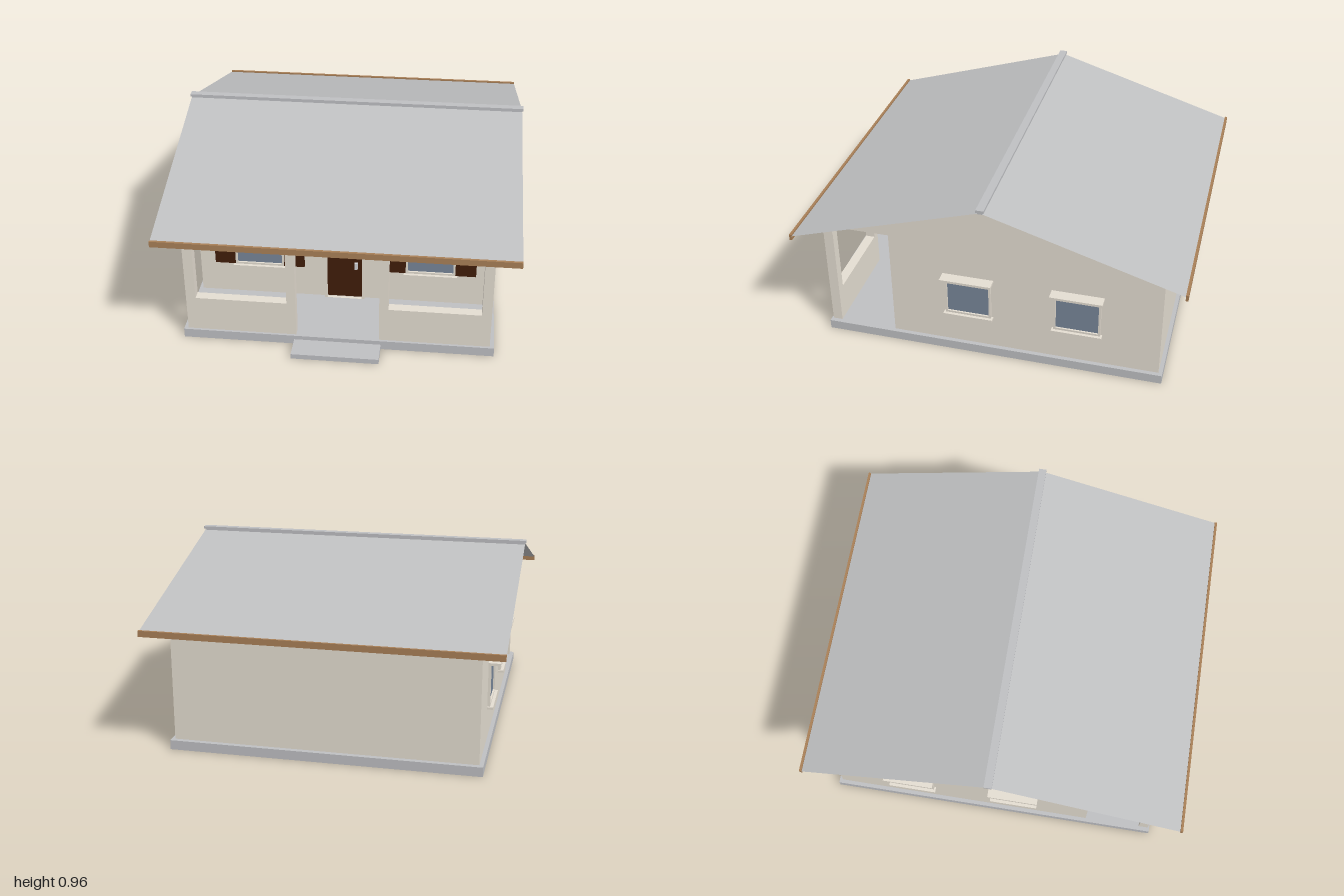
import * as THREE from 'three';

const mat = (name, color, side = THREE.FrontSide) => {
  const m = new THREE.MeshStandardMaterial({ color, side });
  m.name = name;
  return m;
};

export function createModel() {
  const model = new THREE.Group();
  model.name = 'house';

  const wall = mat('wall beige', 0xe4ddd1);
  const concrete = mat('concrete grey', 0xbebfc2, THREE.DoubleSide);
  const roofing = mat('roof grey', 0xbfc0c1, THREE.DoubleSide);
  const timber = mat('fascia brown', 0xa87f57);
  const darkWood = mat('dark wood', 0x401d09);
  const glass = mat('window glass', 0x778598);
  const metal = mat('handle metal', 0xd0d2d6);

  const add = (name, geometry, material, parent = model) => {
    const mesh = new THREE.Mesh(geometry, material);
    mesh.name = name;
    parent.add(mesh);
    return mesh;
  };
  // Box given by its minimum and maximum on each axis
  const box = (name, material, x0, x1, y0, y1, z0, z1, parent) => {
    const g = new THREE.BoxGeometry(x1 - x0, y1 - y0, z1 - z0);
    g.translate((x0 + x1) / 2, (y0 + y1) / 2, (z0 + z1) / 2);
    return add(name, g, material, parent);
  };
  // Box without its bottom face
  const openBox = (...args) => {
    const { geometry } = box(...args);
    const index = Array.from(geometry.index.array);
    index.splice(18, 6);
    geometry.setIndex(index);
    geometry.clearGroups();
  };
  const rectPoints = (x0, x1, y0, y1) =>
    [[x0, y0], [x1, y0], [x1, y1], [x0, y1]].map(([x, y]) => new THREE.Vector2(x, y));

  // Base slab and front step, both hollow underneath
  openBox('foundation', concrete, -0.788, 0.788, 0, 0.049, -0.9, 0.88);
  openBox('frontStep', concrete, -0.22, 0.22, 0, 0.027, 0.88, 1);

  // House body: side profile (z, y) with the gable running on over the porch
  const floorY = 0.051;
  const profile = new THREE.Shape(
    [[-0.88, floorY], [0.519, floorY], [0.519, 0.65], [0.87, 0.65], [0, 0.94], [-0.88, 0.65]]
      .map(([z, y]) => new THREE.Vector2(z, y)));
  const body = new THREE.ExtrudeGeometry(profile, { depth: 1.536, bevelEnabled: false });
  body.rotateY(-Math.PI / 2).translate(0.768, 0, 0);
  add('houseBody', body, wall);

  // Porch front: a beam over two framed openings with low walls
  box('porchBeam', wall, -0.77, 0.77, 0.606, 0.65, 0.82, 0.872);
  for (const s of [-1, 1]) {
    const span = (a, b) => (s > 0 ? [a, b] : [-b, -a]);
    const panel = new THREE.Shape(rectPoints(...span(0.21, 0.766), floorY, 0.606));
    panel.holes.push(new THREE.Path(rectPoints(...span(0.255, 0.717), 0.24, 0.6059)));
    const g = new THREE.ExtrudeGeometry(panel, { depth: 0.05, bevelEnabled: false });
    add('porchPanel', g.translate(0, 0, 0.82), wall);
  }

  // Roof: two thin slopes, eave boards and the ridge cap
  const ridgeY = 0.944, eaveY = 0.642, eaveZ = 0.987;
  for (const s of [-1, 1]) {
    const slope = new THREE.PlaneGeometry(1.77, Math.hypot(eaveZ, ridgeY - eaveY));
    slope.rotateX(-Math.PI / 2 + Math.atan2(ridgeY - eaveY, eaveZ));
    slope.translate(0, (ridgeY + eaveY) / 2, eaveZ / 2);
    if (s < 0) slope.rotateY(Math.PI);
    add('roofSlope', slope, roofing);
    box('eaveBoard', timber, -0.885, 0.885, 0.619, 0.65, s * 0.9935 - 0.0065, s * 0.9935 + 0.0065);
  }
  box('ridgeCap', concrete, -0.89, 0.89, 0.947, 0.961, -0.02, 0.02);
  box('ridgeCapBase', concrete, -0.885, 0.885, 0.938, 0.947, -0.013, 0.013);

  // A window facing +z with its wall plane at z = 0
  const makeWindow = (name, halfW, y0, y1, hood) => {
    const w = new THREE.Group();
    w.name = name;
    const f = 0.011;
    const frame = new THREE.Shape(rectPoints(-halfW - f, halfW + f, y0 - f, y1 + f));
    frame.holes.push(new THREE.Path(rectPoints(-halfW, halfW, y0, y1)));
    add('windowFrame', new THREE.ExtrudeGeometry(frame, { depth: 0.014, bevelEnabled: false }), wall, w);
    box('windowPane', glass, -halfW, halfW, y0, y1, -0.003, 0.005, w);
    box('windowSill', wall, -halfW - 0.02, halfW + 0.02, y0 - 0.023, y0 - 0.011, 0, 0.03, w);
    if (hood) box('windowHood', wall, -halfW - 0.024, halfW + 0.024, y1 + 0.011, y1 + 0.024, 0, 0.06, w);
    model.add(w);
    return w;
  };

  // Side windows on both gable walls
  for (const s of [-1, 1]) for (const z of [0.108, -0.457]) {
    const w = makeWindow('sideWindow', 0.109, 0.246, 0.444, true);
    w.position.set(s * 0.768, 0, z);
    w.rotation.y = s * Math.PI / 2;
  }

  // Front windows with shutters
  for (const s of [-1, 1]) {
    const w = makeWindow('frontWindow', 0.118, 0.243, 0.446, false);
    w.position.set(s * 0.449, 0, 0.519);
    for (const t of [-1, 1])
      box('shutter', darkWood, t * 0.183 - 0.054, t * 0.183 + 0.054, 0.232, 0.456, 0, 0.013, w);
  }

  // Front door with surround and handle
  const surround = new THREE.Shape(rectPoints(-0.106, 0.106, floorY, 0.483));
  surround.holes.push(new THREE.Path(rectPoints(-0.091, 0.091, floorY + 0.0001, 0.468)));
  const surroundGeometry = new THREE.ExtrudeGeometry(surround, { depth: 0.016, bevelEnabled: false });
  add('doorSurround', surroundGeometry.translate(0, 0, 0.519), wall);
  box('frontDoor', darkWood, -0.091, 0.091, 0.06, 0.468, 0.517, 0.527);
  box('doorHandle', metal, 0.053, 0.069, 0.238, 0.277, 0.527, 0.54);

  return model;
}
